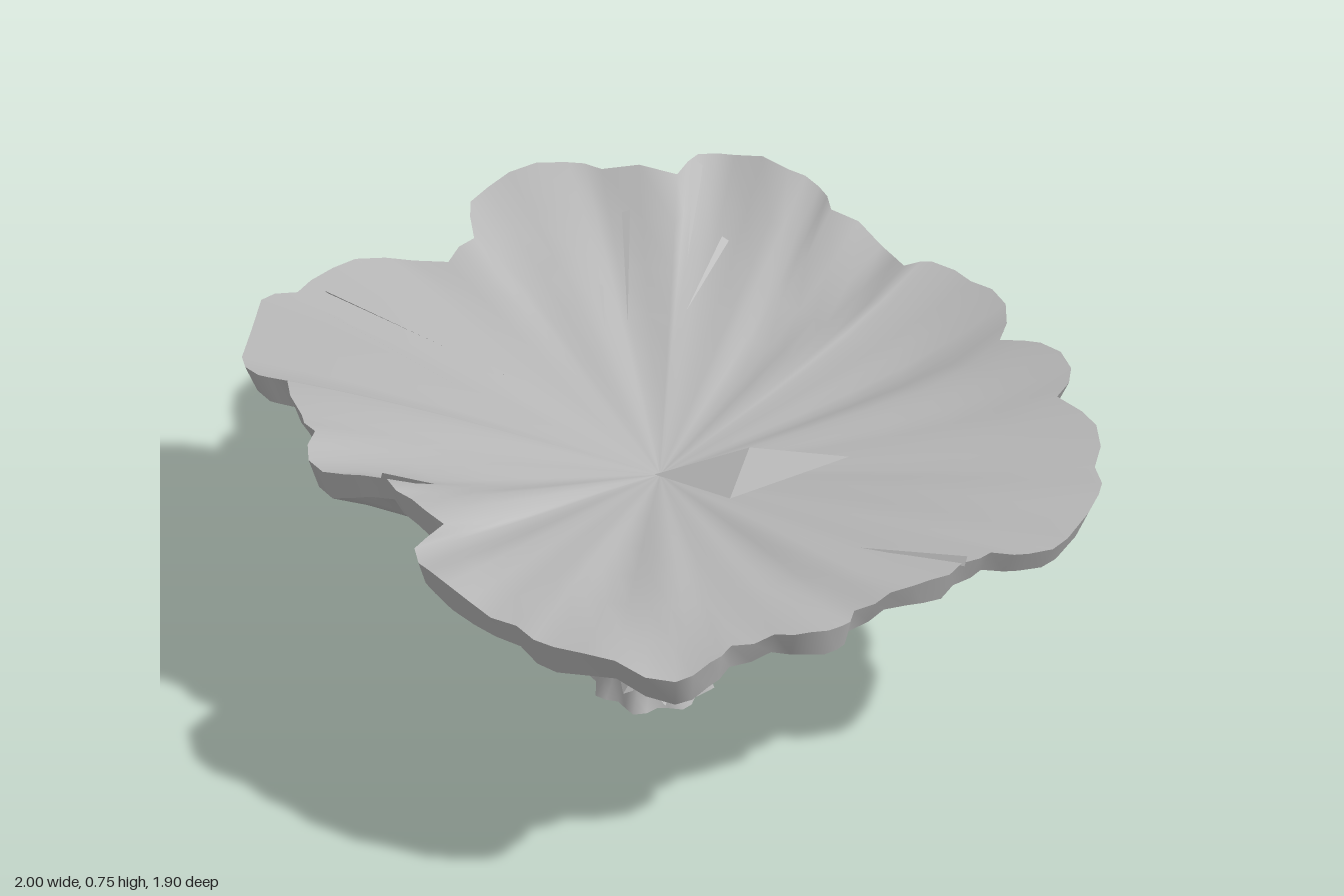
import * as THREE from 'three';

// Rim outline seen from above, as x, z pairs
const OUTLINE = [
  1, .05, .97, .2, .9, .27, .82, .3, .77, .36, .72, .44, .65, .52, .58, .57, .57, .64, .52, .71, .44, .73, .36, .8,
  .33, .87, .27, .94, .13, .94, -.02, .91, -.12, .86, -.25, .79, -.36, .73, -.42, .63, -.38, .53, -.47, .47,
  -.54, .43, -.64, .42, -.74, .36, -.75, .27, -.8, .2, -.87, .07, -.94, .06, -1, -.02, -1, -.18, -.93, -.23,
  -.88, -.34, -.78, -.42, -.64, -.44, -.6, -.51, -.65, -.66, -.6, -.8, -.48, -.86, -.4, -.85, -.22, -.83,
  -.2, -.93, -.12, -.95, .02, -.89, .1, -.86, .15, -.78, .28, -.73, .36, -.63, .42, -.65, .52, -.61, .62, -.54,
  .64, -.42, .74, -.4, .83, -.33, .82, -.25, .93, -.18, .96, -.06,
];
// Rim heights every 22.5 degrees, turning from +x towards +z
const RIM_HEIGHTS = [.67, .66, .655, .65, .66, .665, .68, .67, .645, .68, .68, .7, .745, .71, .73, .73];
const CX = -.02, CZ = .03; // where the cap meets the stem

// Heights of the smooth surfaces by distance from the centre
const DISH = [[0, .53], [.2, .565], [.45, .605], [.7, .64], [1, .675]];
const UNDER = [[.1, .28], [.2, .35], [.36, .432], [.53, .492], [.72, .555], [.95, .605], [1.1, .63]];

// Linear lookup in a list of [position, value]
function lookup(table, t) {
  for (let i = 1; i < table.length; i++) {
    const [a, va] = table[i - 1], [b, vb] = table[i];
    if (t <= b) return va + (vb - va) * Math.max(0, (t - a) / (b - a));
  }
  return table[table.length - 1][1];
}

// Skin a list of closed rings with quads
function loft(rings) {
  const n = rings[0].length, index = [];
  for (let j = 0; j < rings.length - 1; j++) {
    for (let i = 0; i < n; i++) {
      const a = j * n + i, b = j * n + (i + 1) % n;
      index.push(a, b, a + n, b, b + n, a + n);
    }
  }
  const g = new THREE.BufferGeometry().setFromPoints(rings.flat());
  g.setIndex(index);
  g.computeVertexNormals();
  return g;
}

function rimHeight(angle) {
  const n = RIM_HEIGHTS.length;
  const s = ((angle / (Math.PI * 2)) * n + n) % n, i = Math.floor(s), f = s - i;
  const base = RIM_HEIGHTS[i % n] * (1 - f) + RIM_HEIGHTS[(i + 1) % n] * f;
  return base + .01 * Math.sin(13 * angle + 1) + .009 * Math.sin(23 * angle);
}

const ripple = a => .55 * Math.sin(11 * a + .7) + .45 * Math.sin(19 * a + 2 * Math.sin(a));

// Height of the upper surface at fraction t of the way to rim point p
function topHeight(t, { a, r }) {
  return lookup(DISH, t * r) + (rimHeight(a) - lookup(DISH, r)) * t ** 4
    + .022 * ripple(a) * t * Math.sin(Math.PI * t);
}

// Height of the ribbed underside; the lip is thinner at the back
function underHeight(t, { a, r }) {
  const low = rimHeight(a) - .055 - .016 * Math.sin(a) - .01 * Math.sin(17 * a);
  const hump = Math.sin(Math.PI * Math.min(1, Math.max(0, (t - .1) / .87)));
  const sag = .03 * Math.sin(a) ** 2 - .008;
  return lookup(UNDER, t * r) + (low - lookup(UNDER, r)) * (t / .97) ** 5
    + hump * (.028 * (.6 + ripple(a)) - sag);
}

// Centre line and radius of the leaning stem
function stemAt(y) {
  const k = Math.min(1, y / .28);
  return { x: -.03 + .01 * k, z: .065 - .035 * k,
    r: lookup([[0, .133], [.05, .118], [.15, .102], [.24, .096], [.33, .1]], y) };
}

export function createModel() {
  const model = new THREE.Group();
  const grey = new THREE.MeshStandardMaterial({ color: 0xb8b8b8 });
  grey.name = 'stone grey';
  const greySheet = new THREE.MeshStandardMaterial({ color: 0xb8b8b8, side: THREE.DoubleSide });
  greySheet.name = 'stone grey sheet';
  const add = (name, geometry, material = grey, parent = model) => {
    const mesh = new THREE.Mesh(geometry, material);
    mesh.name = name;
    parent.add(mesh);
    return mesh;
  };

  // Rim samples: two per outline side, with a slight scallop
  const rim = [];
  const count = OUTLINE.length / 2;
  for (let i = 0; i < count; i++) {
    const k = (i + 1) % count;
    for (const f of [0, .5]) {
      const scallop = f ? 1.012 : 1;
      const dx = (OUTLINE[2 * i] * (1 - f) + OUTLINE[2 * k] * f - CX) * scallop;
      const dz = (OUTLINE[2 * i + 1] * (1 - f) + OUTLINE[2 * k + 1] * f - CZ) * scallop;
      rim.push({ dx: THREE.MathUtils.clamp(dx, -1 - CX, 1 - CX), dz, a: Math.atan2(dz, dx), r: Math.hypot(dx, dz) });
    }
  }
  const ring = (t, height) => rim.map(p =>
    new THREE.Vector3(CX + p.dx * t, height(t, p), CZ + p.dz * t));

  // Cap: upper dish, lip and ribbed underside
  const cap = new THREE.Group();
  cap.name = 'cap';
  model.add(cap);
  add('capTop', loft([.001, .12, .25, .4, .55, .7, .85, 1].map(t => ring(t, topHeight))), grey, cap);
  add('capLip', loft([ring(1, topHeight), ring(.97, underHeight)]), grey, cap);
  const underRings = [.97, .9, .82, .72, .6, .45, .36, .28, .22].map(t => ring(t, underHeight));
  // The last rings blend from the ragged outline into the round neck
  for (const [r, y, wave] of [[.125, .31, .01], [.105, .265, .004], [.092, .2, 0]]) {
    underRings.push(rim.map(p => new THREE.Vector3(
      CX + Math.cos(p.a) * r, y + wave * ripple(p.a), CZ + Math.sin(p.a) * r)));
  }
  add('capUnderside', loft(underRings), grey, cap);

  // Creases lying on the dish: inner point, outer point, width
  const creases = [
    [-.14, -.63, -.2, -.9, .02], [-.1, -.47, -.08, -.7, .016], [-.22, -.42, -.32, -.73, .018],
    [-.21, -.24, -.31, -.5, .014], [-.41, -.14, -.87, -.24, .02], [-.5, -.06, -.85, -.17, .018],
    [.52, .31, .78, .35, .016], [-.45, .35, -.55, .43, .016],
  ];
  const onDish = (x, z, lift) => {
    const dx = x - CX, dz = z - CZ, a = Math.atan2(dz, dx);
    const near = rim.reduce((m, p) => Math.cos(p.a - a) > Math.cos(m.a - a) ? p : m);
    const t = Math.min(1, Math.hypot(dx, dz) / near.r);
    return new THREE.Vector3(x, topHeight(t, near) + lift, z);
  };
  const flap = (name, points) => {
    const g = new THREE.BufferGeometry().setFromPoints(points);
    g.computeVertexNormals();
    add(name, g, greySheet, cap);
  };
  for (const [x0, z0, x1, z1, w] of creases) {
    const l = Math.hypot(x1 - x0, z1 - z0);
    flap('crease', [onDish(x0, z0, 0),
      onDish(x1 - (z1 - z0) / l * w, z1 + (x1 - x0) / l * w, -.003), onDish(x1, z1, .014)]);
  }
  // Raised fold in the middle of the dish
  const inner = onDish(-.03, .04, .003), front = onDish(.17, .13, .003), outer = onDish(.4, -.03, .02);
  const peak = new THREE.Vector3(.18, .625, .005);
  flap('centreFold', [inner, front, peak, front, outer, peak, outer, inner, peak]);

  // Stem: leaning column whose foot flares into eight root points
  const stemRing = (y, scale = 1) => Array.from({ length: 32 }, (_, i) => {
    const a = i / 32 * Math.PI * 2, s = stemAt(y), foot = Math.max(0, 1 - y / .07);
    const r = s.r * scale * (1 + .03 * Math.sin(5 * a + y * 12) + .1 * foot * Math.cos(8 * a + .3));
    return new THREE.Vector3(s.x + Math.cos(a) * r, y, s.z + Math.sin(a) * r);
  });
  const stem = new THREE.Group();
  stem.name = 'stem';
  model.add(stem);
  add('stemColumn', loft([.33, .26, .2, .14, .09, .04, 0].map(y => stemRing(y))), grey, stem);
  add('stemFoot', loft([stemRing(0), stemRing(0, .001)]), grey, stem);

  // Thorns: angle in degrees from +x towards +z, height, size
  const thorns = [
    [55, .26, .046], [95, .175, .044], [65, .075, .05], [125, .145, .048], [165, .085, .046], [8, .155, .042],
    [190, .15, .044], [260, .1, .046], [285, .16, .034], [330, .08, .044], [100, .09, .05], [78, .19, .044],
    [225, .08, .044], [20, .08, .04], [150, .17, .04], [305, .2, .032], [240, .19, .032],
  ];
  const thorn = new THREE.ConeGeometry(1, 1.5, 3).toNonIndexed();
  thorn.computeVertexNormals();
  thorns.forEach(([deg, y, size], i) => {
    const a = deg * Math.PI / 180, s = stemAt(y);
    const mesh = add('thorn', thorn, grey, stem);
    const out = new THREE.Vector3(Math.cos(a), .3 * Math.sin(i * 2.3), Math.sin(a)).normalize();
    mesh.quaternion.setFromUnitVectors(new THREE.Vector3(0, 1, 0), out);
    mesh.rotateY(i * 1.3);
    mesh.scale.setScalar(size);
    mesh.position.set(s.x, y, s.z).addScaledVector(out, s.r + size * .3);
  });
  return model;
}
